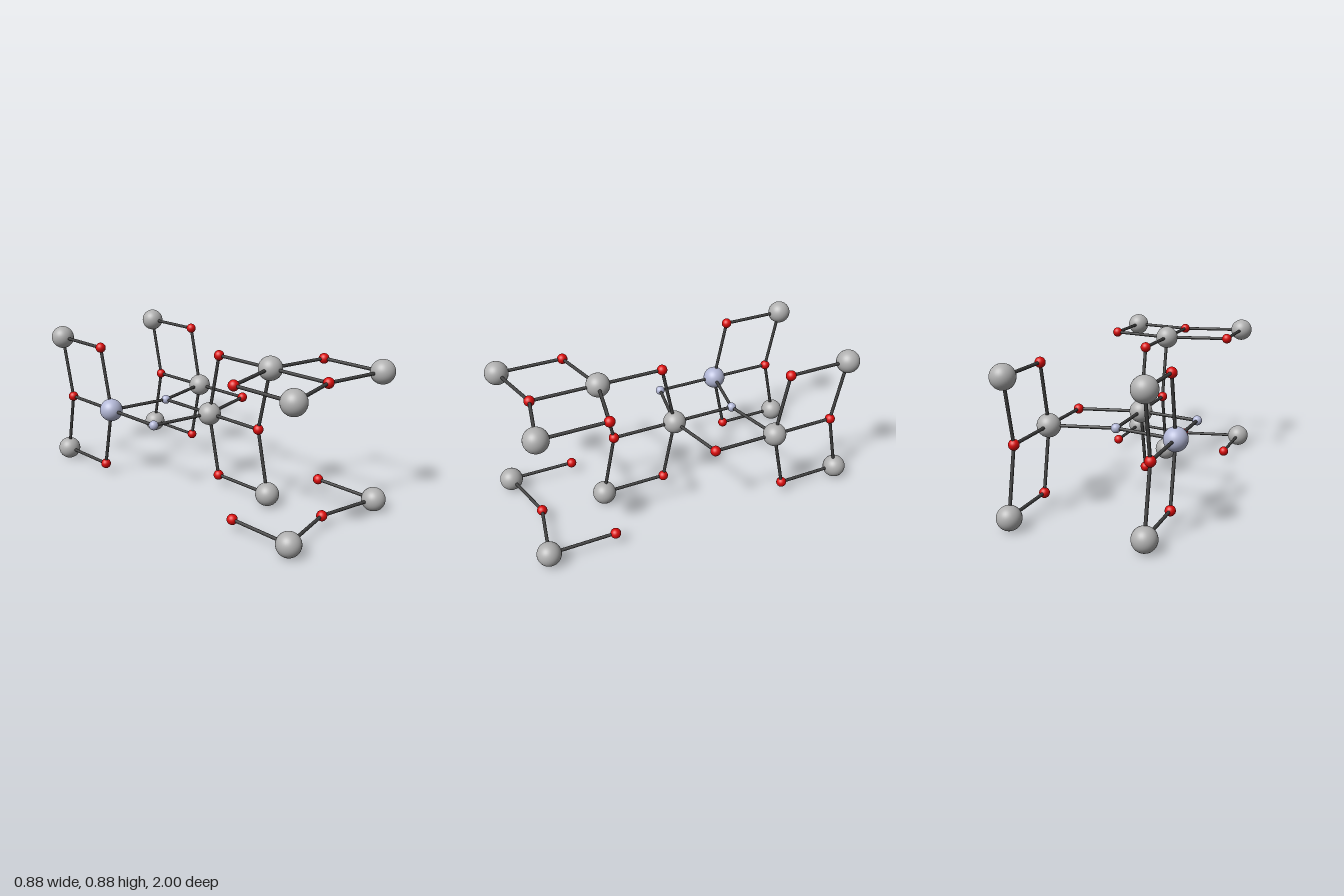
import * as THREE from 'three';

export function createModel() {
  const model = new THREE.Group();
  const mat = (name, color) => Object.assign(new THREE.MeshStandardMaterial({ color }), { name });
  const grey = mat('grey', 0xb0b0b0);
  const lavender = mat('lavender', 0xb3b8d6);
  const red = mat('red', 0xdc0b0b);
  const charcoal = mat('charcoal', 0x404040);

  // Lattice spacing: half width, long axis quarter, axial bond length
  const A = 0.372, Q = 0.466, D = 0.388;
  const LOW = 0.068, MID = LOW + A, TOP = LOW + 2 * A;
  const S = Q - D; // small z offset of the zigzag bonds

  const metals = [], oxygens = [];
  const at = (list, x, y, z) => list.push(new THREE.Vector3(x, y, z));

  for (const x of [-A, A]) {
    for (const y of [LOW, TOP]) {
      at(metals, x, y, 2 * Q);
      at(metals, x, y, -2 * Q);
      at(oxygens, x, y, Q + S);
      at(oxygens, x, y, -Q - S);
    }
    at(metals, x, MID, -Q);
    at(oxygens, x, MID, -S);
    at(oxygens, x, MID, -2 * Q + S);
  }
  for (const y of [LOW, TOP]) {
    at(metals, 0, y, Q);
    at(oxygens, 0, y, 2 * Q - S);
    at(oxygens, 0, y, S);
  }
  at(metals, 0, MID, 0);
  at(oxygens, 0, MID, D);
  at(oxygens, 0, MID, -D);

  // Atoms
  const bigBall = new THREE.SphereGeometry(0.068, 32, 24);
  const redBall = new THREE.SphereGeometry(0.03, 24, 16);
  const paleBall = new THREE.SphereGeometry(0.028, 24, 16);
  const addBall = (geometry, material, p, name) => {
    const ball = new THREE.Mesh(geometry, material);
    ball.position.copy(p);
    ball.name = name;
    model.add(ball);
  };
  for (const p of metals) {
    const odd = p.x < 0 && p.y === MID;
    addBall(bigBall, odd ? lavender : grey, p, odd ? 'substituteLargeAtom' : 'largeAtom');
  }
  for (const p of oxygens) {
    const odd = p.y === MID && ((p.x < 0 && p.z === -S) || (p.x === 0 && p.z < 0));
    addBall(odd ? paleBall : redBall, odd ? lavender : red, p, odd ? 'substituteSmallAtom' : 'smallAtom');
  }

  // Bonds join neighbours; the bottom front corner fragment stays detached
  const up = new THREE.Vector3(0, 1, 0);
  for (const m of metals) {
    for (const o of oxygens) {
      const length = m.distanceTo(o);
      if (length > 0.4) continue;
      if (m.x === 0 && m.y === LOW && o.z > Q) continue;
      const bond = new THREE.Mesh(new THREE.CylinderGeometry(0.0095, 0.0095, length, 16), charcoal);
      bond.position.copy(m).lerp(o, 0.5);
      bond.quaternion.setFromUnitVectors(up, o.clone().sub(m).normalize());
      bond.name = 'bond';
      model.add(bond);
    }
  }
  return model;
}
